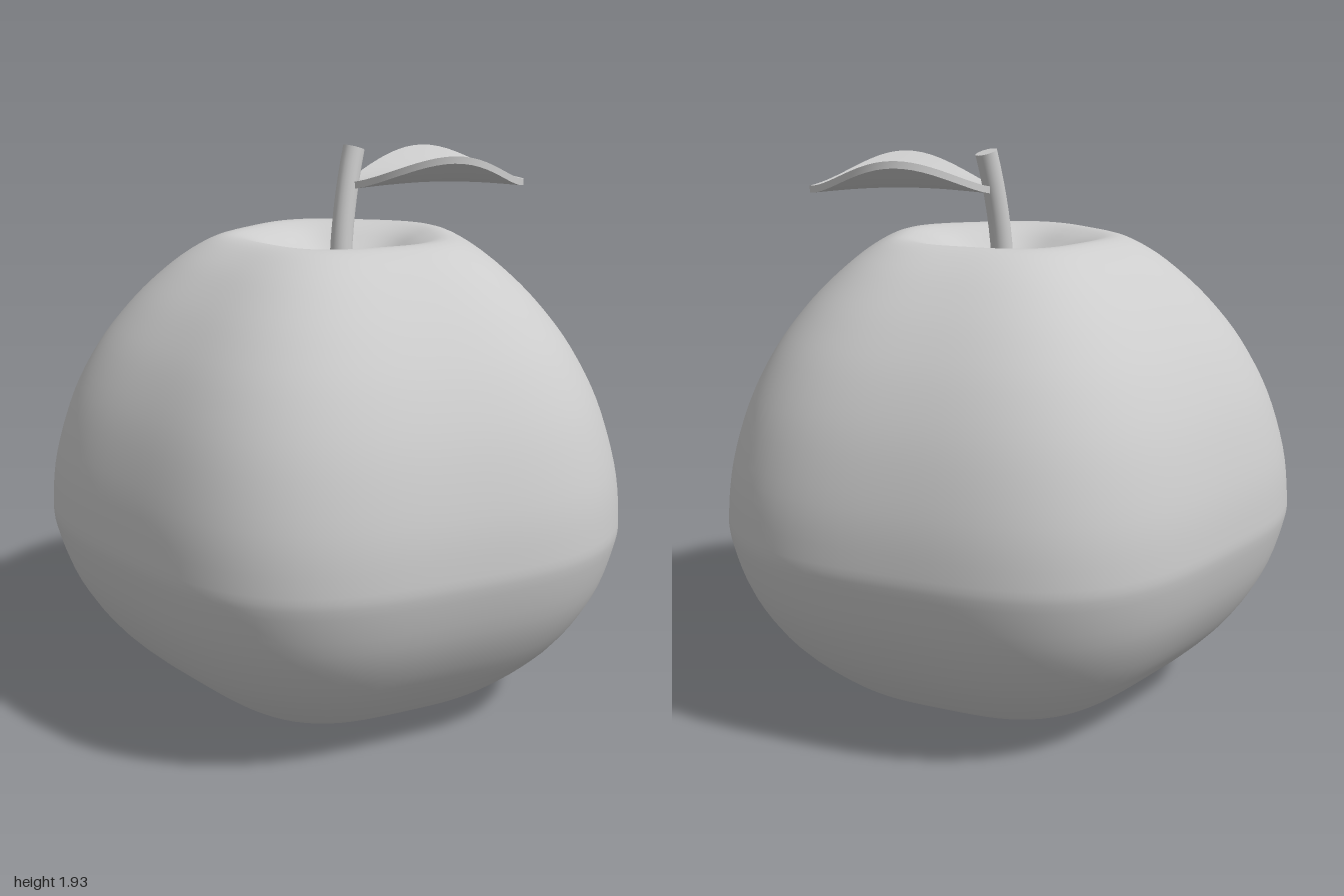
import * as THREE from 'three';
import { mergeVertices } from 'three/addons/utils/BufferGeometryUtils.js';

const CENTRE_X = -0.037; // axis of the fruit

// Moves every vertex of a geometry by a rule, then refreshes the normals
function reshape(geometry, rule) {
  const pos = geometry.attributes.position;
  const p = new THREE.Vector3();
  for (let i = 0; i < pos.count; i++) {
    p.fromBufferAttribute(pos, i);
    rule(p);
    pos.setXYZ(i, p.x, p.y, p.z);
  }
  geometry.computeVertexNormals();
  return geometry;
}

// Lathed fruit with dimples at both ends and five soft lobes
function makeFruit() {
  const profile = [
    [0, 0.11], [0.1, 0.09], [0.22, 0.035], [0.36, 0.002], [0.49, 0.035], [0.62, 0.105],
    [0.8, 0.27], [0.92, 0.455], [0.98, 0.64], [0.985, 0.74], [0.963, 0.9], [0.9, 1.1],
    [0.81, 1.27], [0.71, 1.4], [0.61, 1.5], [0.5, 1.585], [0.385, 1.638], [0.29, 1.62],
    [0.2, 1.57], [0.1, 1.52], [0, 1.5],
  ].map(([r, y]) => new THREE.Vector2(r, y));
  const points = new THREE.SplineCurve(profile).getPoints(80);
  points.forEach((p) => { p.x = Math.max(p.x, 0); });
  let geometry = new THREE.LatheGeometry(points, 96);
  geometry.deleteAttribute('uv');
  geometry.deleteAttribute('normal');
  geometry = mergeVertices(geometry, 1e-5);
  return reshape(geometry, (p) => {
    const lobe = 1 + 0.0375 * Math.cos(5 * Math.atan2(p.z, p.x));
    p.x = p.x * lobe + CENTRE_X;
    p.z *= lobe;
  });
}

// Leaning, slightly bent stem
function makeStem() {
  const height = 0.42;
  const geometry = new THREE.CylinderGeometry(0.037, 0.039, height, 20, 8);
  return reshape(geometry, (p) => {
    const t = p.y / height + 0.5;
    p.y += 1.505 + height / 2 - p.x * 0.3 * t;
    p.x += -0.032 + 0.03 * t + 0.05 * t * t;
    p.z -= 0.018 * t;
  });
}

// Thin leaf: a slab narrowed to a leaf outline, with its sides curled upward
function makeLeaf() {
  const length = 0.625;
  const geometry = new THREE.BoxGeometry(1, 0.024, 2, 32, 1, 16);
  return reshape(geometry, (p) => {
    const s = (1 - Math.cos(Math.PI * (p.x + 0.5))) / 2;
    const sine = Math.max(Math.sin(Math.PI * s), 0.0005);
    const v = p.z * 0.247 * Math.pow(sine, 0.6 + 0.25 * s);
    p.x = s * length;
    p.z = v;
    p.y += 1.35 * v * v + 0.02 * Math.sin(Math.PI * s);
  });
}

export function createModel() {
  const grey = new THREE.MeshStandardMaterial({ color: 0xcccccc });
  grey.name = 'light grey';

  const group = new THREE.Group();
  group.name = 'apple';
  const add = (name, geometry) => {
    const mesh = new THREE.Mesh(geometry, grey);
    mesh.name = name;
    group.add(mesh);
    return mesh;
  };

  add('fruit', makeFruit());
  add('stem', makeStem());
  const leaf = add('leaf', makeLeaf());
  leaf.position.set(0.027, 1.798, -0.018);
  leaf.rotation.y = -0.57;
  return group;
}
